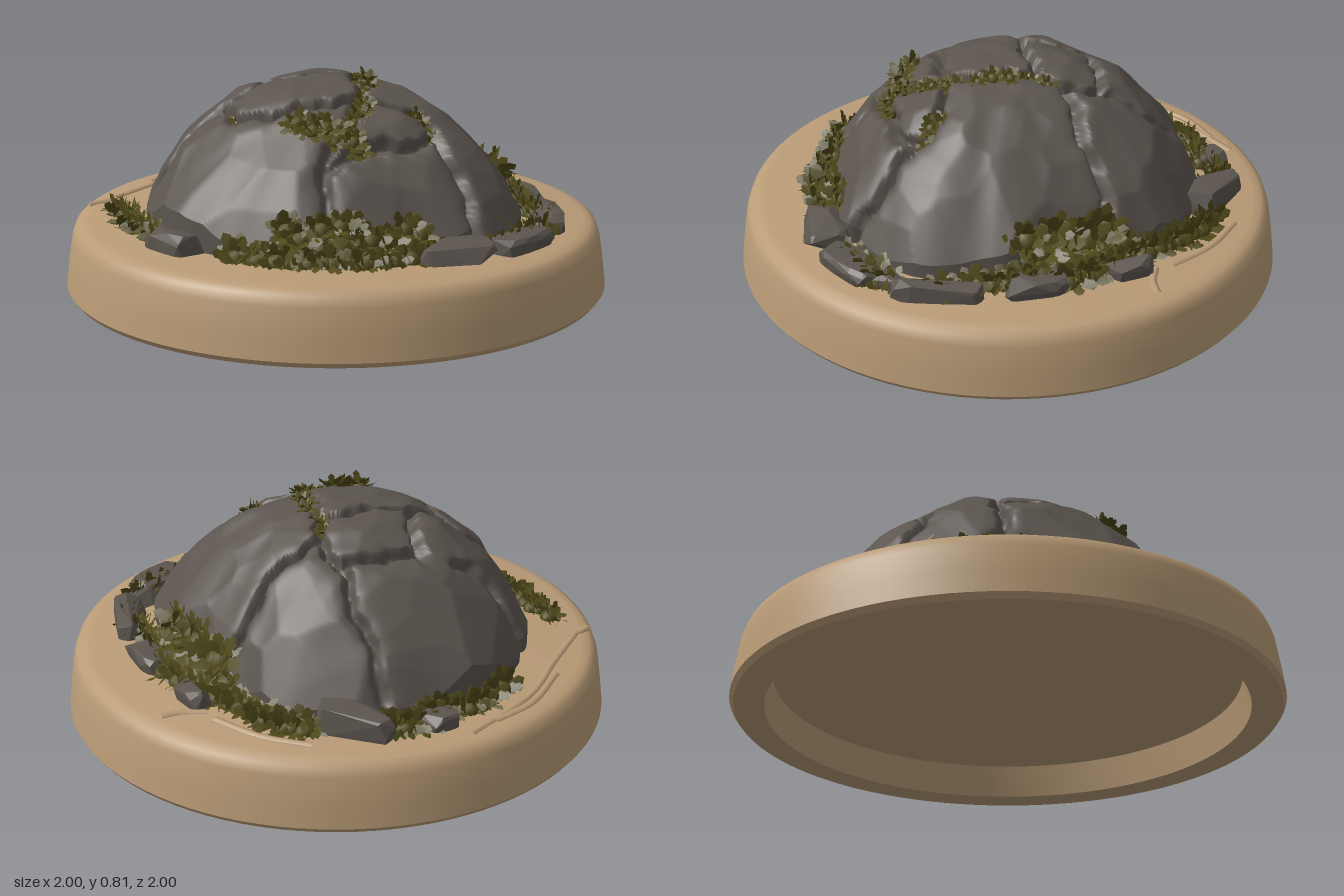
import * as THREE from 'three';
import { mergeGeometries, toCreasedNormals } from 'three/addons/utils/BufferGeometryUtils.js';
import { ConvexGeometry } from 'three/addons/geometries/ConvexGeometry.js';

const mat = (name, color, side = THREE.FrontSide) => {
  const m = new THREE.MeshStandardMaterial({ color, side });
  m.name = name;
  return m;
};
const sand = mat('sand', 0xb99b76);
const rock = mat('darkRock', 0x5c554f);
const moss = mat('moss', 0x4f491a, THREE.DoubleSide);

let seed = 7;
const rand = (a = 0, b = 1) => {
  seed = (seed * 16807) % 2147483647;
  return a + (b - a) * (seed / 2147483647);
};

const CX = -0.04, CZ = -0.02, GROUND = 0.258;

// Dome footprint: radius every 22.5 degrees, from +x towards +z
const RADII = [.64, .69, .75, .73, .67, .68, .68, .68, .66, .66, .67, .68, .68, .70, .71, .66];
function footprint(angle) {
  const n = RADII.length;
  const k = ((angle / (Math.PI * 2)) % 1 + 1) % 1 * n;
  const i = Math.floor(k) % n, f = k - Math.floor(k);
  const s = (1 - Math.cos(f * Math.PI)) / 2;
  return RADII[i] * (1 - s) + RADII[(i + 1) % n] * s;
}

// Tangent planes that chisel the dome into facets
const facets = [];
for (let i = 0; i < 95; i++) {
  const r = 0.97 * Math.sqrt((i + 0.5) / 95), a = i * 2.4 + rand(-0.5, 0.5);
  const k = 1 - r ** 2.2;
  facets.push({ c: Math.cos(a), s: Math.sin(a), r, h: 0.52 * k ** 0.7 + rand(0, 0.008),
    slope: -0.8 * r ** 1.2 * k ** -0.3 });
}

// Cracks seen from above, as x, z paths
const CRACKS = [
  [[-.69, -.23], [-.58, -.18], [-.45, -.155], [-.24, -.12], [-.1, -.1], [.09, -.075], [.17, -.155], [.35, -.17], [.58, -.21]],
  [[-.48, -.53], [-.4, -.42], [-.26, -.4]],
  [[-.22, -.13], [-.18, -.26], [-.12, -.385], [0, -.34], [.17, -.33]],
  [[.19, -.66], [.2, -.5], [.17, -.33], [.17, -.155]],
  [[.09, -.075], [.06, .09], [0, .25], [-.13, .35], [-.26, .5], [-.3, .62]],
  [[.03, .25], [.17, .3], [.22, .41], [.27, .68]],
  [[-.41, -.14], [-.42, .06], [-.34, .17], [-.18, .22], [0, .23]],
  [[-.26, .5], [-.1, .43], [.08, .46], [.22, .41]],
];
function crackDistance(x, z) {
  x += 0.012 * Math.sin(z * 31) + 0.005 * Math.sin(z * 83);
  z += 0.012 * Math.sin(x * 27 + 1) + 0.005 * Math.sin(x * 77);
  let best = 1;
  for (const path of CRACKS) for (let i = 1; i < path.length; i++) {
    const [ax, az] = path[i - 1], dx = path[i][0] - ax, dz = path[i][1] - az;
    const t = Math.min(1, Math.max(0, ((x - ax) * dx + (z - az) * dz) / (dx * dx + dz * dz)));
    best = Math.min(best, Math.hypot(x - ax - dx * t, z - az - dz * t));
  }
  return best;
}

// Point on the dome at an angle and relative radius r (0 centre, 1 edge)
function domePoint(angle, r) {
  const c = Math.cos(angle), s = Math.sin(angle), R = footprint(angle) * r;
  let h = 1;
  for (const f of facets) h = Math.min(h, f.h + f.slope * (r * (c * f.c + s * f.s) - f.r));
  const p = new THREE.Vector3(CX + c * R, 0.25 + Math.max(0, h), CZ + s * R);
  p.y += 0.003 * Math.sin(p.x * 23 + Math.sin(p.z * 17) * 2) * Math.sin(p.z * 21);
  const d = crackDistance(p.x, p.z);
  const depth = 0.045 * Math.max(0, 1 - d / 0.022) ** 0.7 + 0.016 * Math.max(0, 1 - d / 0.07) ** 2;
  const inward = new THREE.Vector3(CX - p.x, 0.1 - p.y, CZ - p.z).normalize();
  return p.addScaledVector(inward, depth);
}

function domeGeometry(around = 300, rings = 100) {
  const pos = [], idx = [];
  for (let i = 0; i < around; i++) for (let j = 0; j <= rings + 1; j++) {
    const a = i / around * Math.PI * 2;
    const p = domePoint(a, Math.sin(Math.min(j, rings) / rings * Math.PI / 2));
    if (j > rings) p.y = 0.24; // skirt into the ground
    pos.push(p.x, p.y, p.z);
  }
  const row = rings + 2;
  for (let i = 0; i < around; i++) for (let j = 0; j <= rings; j++) {
    const a = i * row + j, d = ((i + 1) % around) * row + j;
    if (j > 0) idx.push(a, d, a + 1);
    idx.push(d, d + 1, a + 1);
  }
  const g = new THREE.BufferGeometry();
  g.setAttribute('position', new THREE.Float32BufferAttribute(pos, 3));
  g.setIndex(idx);
  g.computeVertexNormals();
  return g;
}

// Height of the ground or dome under x, z
function surface(x, z) {
  const a = Math.atan2(z - CZ, x - CX), r = Math.hypot(x - CX, z - CZ) / footprint(a);
  return r < 1 ? domePoint(a, r) : new THREE.Vector3(x, GROUND, z);
}

// Angular boulder made from the hull of points on a rounded block
function stoneGeometry(l, h, w) {
  const pts = [];
  for (let i = 0; i < 26; i++) {
    const p = new THREE.Vector3(rand(-1, 1), rand(-1, 1), rand(-1, 1)).normalize();
    const soft = v => Math.sign(v) * Math.abs(v) ** 0.65;
    pts.push(new THREE.Vector3(soft(p.x) * l, soft(p.y) * h, soft(p.z) * w));
  }
  return new ConvexGeometry(pts);
}

// Lobed, drooping leaf of unit length
function leafGeometry() {
  const half = [[.09, .05], [.26, .2], [.17, .36], [.3, .52], [.17, .64], [.2, .82]];
  const outline = [...half, [0, 1], ...half.map(([x, y]) => [-x, y]).reverse()];
  const g = new THREE.ShapeGeometry(new THREE.Shape(outline.map(p => new THREE.Vector2(...p))));
  const p = g.attributes.position;
  for (let i = 0; i < p.count; i++) p.setZ(i, -0.3 * p.getY(i) ** 2 - 0.4 * Math.abs(p.getX(i)));
  g.computeVertexNormals();
  return g.toNonIndexed();
}
const leaf = leafGeometry();
const core = new THREE.IcosahedronGeometry(0.45, 1);

// Rosette of leaves around a small core
function clump(parts, at, size) {
  const up = new THREE.Vector3(at.x - CX, 0.55, at.z - CZ).normalize();
  const side = new THREE.Vector3(0, 0, 1).cross(up).normalize();
  const front = new THREE.Vector3().crossVectors(side, up);
  parts.push(core.clone().scale(size, size, size).translate(at.x, at.y, at.z));
  for (let i = 0; i < 17; i++) {
    const a = i * 2.4 + rand(-.3, .3), tilt = 0.25 + 1.25 * (i / 16);
    const out = side.clone().multiplyScalar(Math.cos(a)).addScaledVector(front, Math.sin(a));
    const y = up.clone().multiplyScalar(Math.cos(tilt)).addScaledVector(out, Math.sin(tilt));
    const x = new THREE.Vector3().crossVectors(y, up).normalize();
    const z = new THREE.Vector3().crossVectors(x, y);
    const s = size * rand(0.8, 1.15);
    const m = new THREE.Matrix4().makeBasis(x, y, z).scale(new THREE.Vector3(s, s, s)).setPosition(at);
    parts.push(leaf.clone().applyMatrix4(m));
  }
}

export function createModel() {
  const model = new THREE.Group();
  const add = (name, geometry, material) => {
    const m = new THREE.Mesh(geometry, material);
    m.name = name;
    model.add(m);
    return m;
  };

  // Round base, hollow underneath
  const profile = [[0, .12], [.85, .12], [.875, 0], [.985, 0], [1, .02], [.99, .1], [.975, .2],
    [.962, .235], [.94, .25], [.91, .256], [0, GROUND]].map(p => new THREE.Vector2(...p));
  add('roundBase', toCreasedNormals(new THREE.LatheGeometry(profile, 96), 0.7), sand);

  // Low ripples in the sand
  const ripples = [[[-.75, -.48], [-.55, -.62], [-.33, -.78], [0, -.9]], [[-.5, -.7], [-.3, -.83], [-.12, -.87]],
    [[.5, -.7], [.62, -.56], [.7, -.38]], [[.7, -.32], [.78, -.28], [.85, -.27]], [[-.82, -.46], [-.75, -.48], [-.7, -.49]]];
  for (const path of ripples) {
    const curve = new THREE.CatmullRomCurve3(path.map(([x, z]) => new THREE.Vector3(x, 0, z)));
    add('sandRipple', new THREE.TubeGeometry(curve, 30, 0.015, 6).scale(1, 0.7, 1), sand).position.y = GROUND - 0.002;
  }

  add('crackedDome', domeGeometry(), rock);

  // Stones round the foot: x, z, turn, half length, half height, half width
  const stones = [[.14, .73, 0, .15, .07, .085], [.4, .69, .4, .15, .06, .07], [.64, .44, 1.25, .17, .07, .07],
    [.71, .12, 1.6, .13, .06, .065], [.69, -.22, 1.7, .1, .07, .065], [-.71, .23, -1.2, .12, .07, .07],
    [.33, -.68, -.85, .16, .1, .08], [.06, -.79, 0, .07, .06, .06], [.53, .57, .9, .08, .05, .06]];
  for (const [x, z, turn, l, h, w] of stones) {
    const s = add('footStone', stoneGeometry(l, h, w), rock);
    s.position.set(x, GROUND + 0.005, z);
    s.rotation.y = turn;
  }

  // Moss along the foot and in the cracks: name, leaf size, clumps, path
  const beds = [
    ['leftMoss', .075, 10, [[-.73, -.32], [-.75, -.1], [-.73, .12]]],
    ['frontMoss', .085, 17, [[-.56, .43], [-.38, .6], [-.18, .68], [.05, .69]]],
    ['climbingFrontMoss', .08, 9, [[-.42, .53], [-.2, .62], [.03, .645]]],
    ['frontCornerMoss', .08, 5, [[.33, .68], [.45, .64], [.54, .59]]],
    ['rightMoss', .085, 14, [[.63, .42], [.66, .2], [.69, -.05], [.64, -.25]]],
    ['climbingRightMoss', .1, 9, [[.6, .12], [.575, -.06], [.58, -.22]]],
    ['backCornerMoss', .08, 9, [[.47, -.6], [.55, -.5], [.6, -.33]]],
    ['backMoss', .08, 14, [[-.25, -.7], [-.1, -.76], [.03, -.73], [.13, -.78], [.25, -.68]]],
    ['crackMoss', .05, 14, [[.13, -.13], [.09, .05], [.05, .18], [-.04, .3], [-.14, .35]]],
    ['ledgeMoss', .065, 7, [[-.27, .3], [-.16, .37], [-.09, .43]]],
    ['frontCrackMoss', .055, 4, [[.18, .31], [.21, .39]]],
    ['smallCrackMoss', .035, 2, [[-.43, 0], [-.42, .04]]],
  ];
  for (const [name, size, count, path] of beds) {
    const curve = new THREE.CatmullRomCurve3(path.map(([x, z]) => new THREE.Vector3(x, 0, z)));
    const parts = [];
    for (let i = 0; i < count; i++) {
      const p = curve.getPoint(i / (count - 1));
      clump(parts, surface(p.x + rand(-.015, .015), p.z + rand(-.015, .015)), size * rand(0.85, 1.1));
    }
    add(name, mergeGeometries(parts), moss);
  }
  return model;
}
